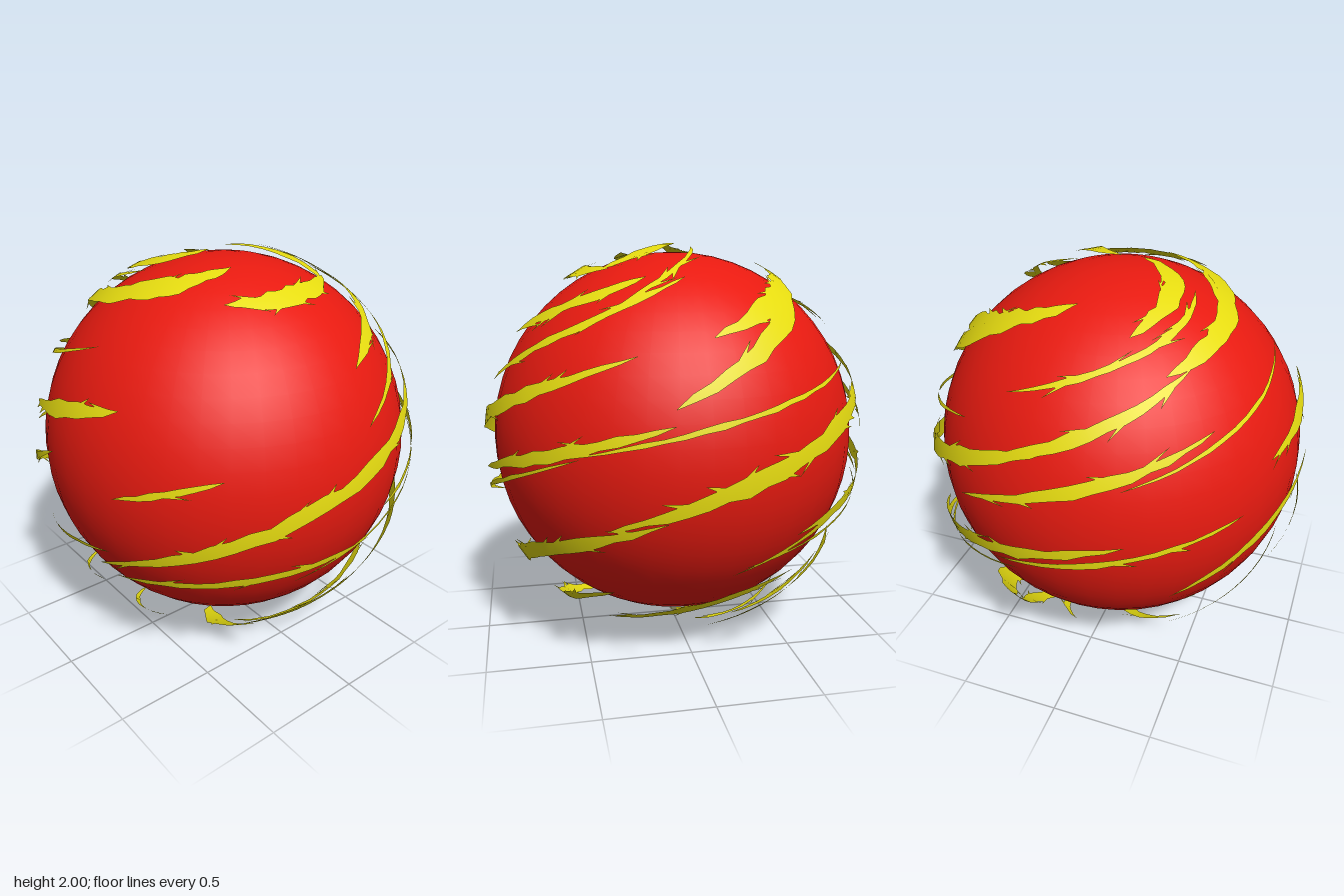
import * as THREE from 'three';

const rad = THREE.MathUtils.degToRad;
const SHELL = new THREE.Vector3(0.975, 1, 0.975);

// Streaks from broadest to finest: start longitude and latitude, end longitude and latitude
const STREAKS = [
  [215, 45, 328, 73], [300, -78, 338, -48], [100, -62, 168, -30], [92, 36, 172, 65],
  [-38, 58, 40, 61], [34, 60, 75, 90], [203, 56, 280, 84], [62, -13, 179, 26],
  [80, 18, 155, 59], [-35, -47, 78, -10], [8, 35, 66, 57], [-76, -18, 69, 31],
  [138, -68, 160, -37], [245, 17, 291, 27], [116, -17, 200, 3], [-30, -66, 60, -34],
  [180, -90, 232, -53], [150, 15, 225, 46], [11, -4, 80, 14], [151, 6, 227, 30],
  [6, 20, 85, 57], [48, -52, 120, -30], [213, -16, 267, 10], [-71, -21, 6, -12],
  [120, -80, 174, -55], [160, 37, 255, 66], [163, -9, 233, 6], [46, 36, 104, 78],
  [-68, 5, -38, 13], [97, -27, 162, -3], [52, 5, 147, 26], [250, -62, 300, -40],
  [250, -18, 289, -12], [199, 18, 274, 41], [-19, -19, 55, 5], [100, -25, 170, -10],
  [220, -50, 280, -28]
];

// Small seeded generator for the ragged edges
function seeded(seed) {
  return () => (seed = (seed * 16807) % 2147483647) / 2147483647;
}

// Direction on the unit sphere; longitude 0 is the front
function direction(lon, lat) {
  return new THREE.Vector3().setFromSphericalCoords(1, rad(90 - lat), rad(lon));
}

// Ragged ribbon lying on the shell, with thorns along both edges
function streakGeometry([lon0, lat0, lon1, lat1], width, rand) {
  const at = (t) => direction(lon0 + (lon1 - lon0) * t, lat0 + (lat1 - lat0) * t);
  const steps = Math.max(8, Math.round(Math.abs(lon1 - lon0) / 5));
  const positions = [], normals = [], index = [];

  const addPoint = (p) => {
    p.normalize();
    positions.push(p.x * SHELL.x, p.y * SHELL.y, p.z * SHELL.z);
    normals.push(p.x, p.y, p.z);
    return positions.length / 3 - 1;
  };

  for (let i = 0; i <= steps; i++) {
    const t = i / steps;
    const centre = at(t);
    const along = at(t + 0.01).sub(at(t - 0.01)).normalize();
    const side = new THREE.Vector3().crossVectors(centre, along).normalize();
    const place = (s, a) => addPoint(centre.clone().addScaledVector(side, s).addScaledVector(along, a));
    const w = width * (0.03 + 0.97 * Math.sin(Math.PI * t) ** 0.7);

    // left and right edge of the ribbon
    const left = place(w * (0.3 + 0.3 * rand()), 0);
    const right = place(-w * (0.3 + 0.3 * rand()), 0);
    if (i > 0) {
      const [prevLeft, prevRight] = index.previous;
      index.push(prevLeft, prevRight, left, prevRight, right, left);
    }
    index.previous = [left, right];

    // thorn drawn out sideways and along the streak
    if (i > 0 && i < steps && w > 0.03 && rand() < 0.4) {
      const s = rand() < 0.5 ? 1 : -1;
      const reach = (rand() < 0.5 ? 1 : -1) * (0.07 + 0.06 * rand());
      const back = place(s * w * 0.28, -0.03);
      const front = place(s * w * 0.28, 0.03);
      const tip = place(s * (w * 0.5 + 0.025), reach);
      if (s > 0) index.push(back, front, tip);
      else index.push(front, back, tip);
    }
  }

  const geometry = new THREE.BufferGeometry();
  geometry.setAttribute('position', new THREE.Float32BufferAttribute(positions, 3));
  geometry.setAttribute('normal', new THREE.Float32BufferAttribute(normals, 3));
  geometry.setIndex([...index]);
  return geometry;
}

export function createModel() {
  const model = new THREE.Group();
  const red = new THREE.MeshStandardMaterial({ color: 0xe81a10 });
  const yellow = new THREE.MeshStandardMaterial({ color: 0xe6dc10, side: THREE.DoubleSide });

  // Solid core
  const core = new THREE.Mesh(new THREE.SphereGeometry(0.922, 40, 28), red);
  core.name = 'core';
  core.position.y = 1.035;
  model.add(core);

  // Swirling streaks floating just above the core
  const shell = new THREE.Group();
  shell.name = 'swirlShell';
  shell.position.y = 1;
  const rand = seeded(4711);
  STREAKS.forEach((streak, i) => {
    const width = 0.02 + 0.12 * (1 - i / STREAKS.length) ** 1.5;
    const mesh = new THREE.Mesh(streakGeometry(streak, width, rand), yellow);
    mesh.name = `streak${i + 1}`;
    shell.add(mesh);
  });
  model.add(shell);
  return model;
}
